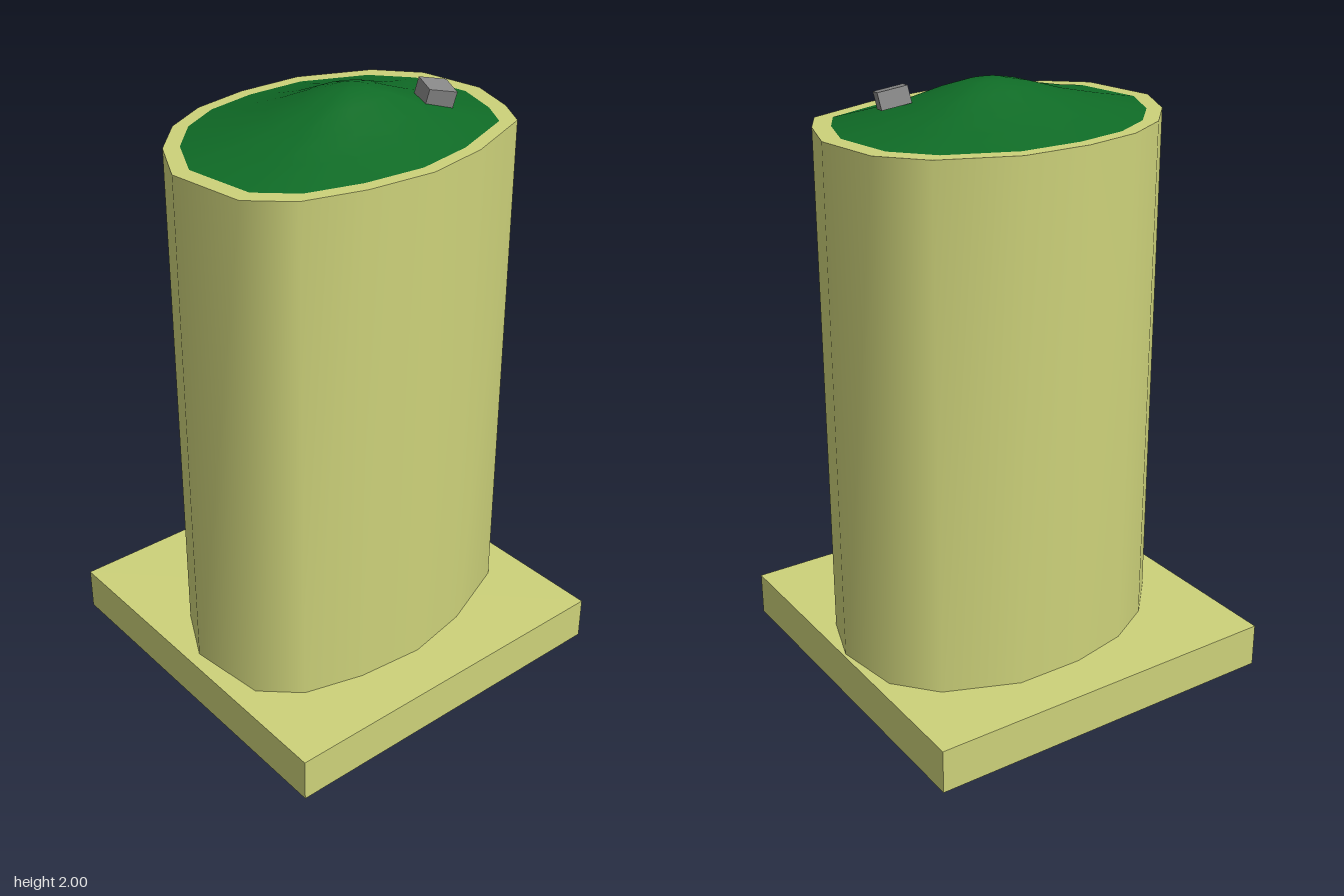
import * as THREE from 'three';

// Irregular oval footprint of the tower as [x, z], starting at the back
const OUTLINE = [
  [0, -0.62], [0.18, -0.56], [0.3, -0.49], [0.41, -0.225], [0.455, 0], [0.435, 0.23],
  [0.38, 0.43], [0.27, 0.55], [0, 0.585], [-0.19, 0.49], [-0.33, 0.36], [-0.42, 0.2],
  [-0.463, 0], [-0.463, -0.23], [-0.365, -0.47], [-0.23, -0.585],
];
const RIM_Y = 1.88;
const RIM_SCALE = 0.9;

// Outline scaled by s, at height y, shifted along z
const ring = (s, y, dz = 0) => OUTLINE.map(([x, z]) => [x * s, y, z * s + dz]);

// Skin joining closed rings, listed from low/outer to high/inner
function loft(rings) {
  const n = OUTLINE.length;
  const index = [];
  for (let r = 0; r < rings.length - 1; r++) {
    for (let i = 0; i < n; i++) {
      const j = (i + 1) % n;
      const a = r * n + i, b = r * n + j, c = a + n, d = b + n;
      index.push(a, c, b, b, c, d);
    }
  }
  const geometry = new THREE.BufferGeometry();
  geometry.setAttribute('position', new THREE.Float32BufferAttribute(rings.flat(2), 3));
  geometry.setIndex(index);
  geometry.computeVertexNormals();
  return geometry;
}

export function createModel() {
  const model = new THREE.Group();
  model.name = 'tower';

  const stone = new THREE.MeshStandardMaterial({ color: 0xcdd27a, side: THREE.DoubleSide });
  const grass = new THREE.MeshStandardMaterial({ color: 0x0f6b26, side: THREE.DoubleSide });
  const rock = new THREE.MeshStandardMaterial({ color: 0x888888, flatShading: true });

  const add = (name, geometry, material) => {
    const mesh = new THREE.Mesh(geometry, material);
    mesh.name = name;
    model.add(mesh);
    return mesh;
  };

  // Square plinth, hollow and open underneath
  const plinth = new THREE.BoxGeometry(1.26, 0.15, 1.26);
  const faces = Array.from(plinth.index.array);
  faces.splice(18, 6); // drop the bottom face
  plinth.setIndex(faces);
  plinth.clearGroups();
  add('plinth', plinth, stone).position.y = 0.075;

  // Smooth shaft, reaching a little way down into the plinth
  add('shaft', loft([ring(1, 0.06), ring(1, RIM_Y)]), stone);

  // Flat rim around the top
  add('rim', loft([ring(1, RIM_Y), ring(RIM_SCALE, RIM_Y)]), stone);

  // Grassy mound: [distance from peak, share of height]
  const slope = [[1, 0], [0.75, 0.23], [0.5, 0.5], [0.28, 0.82], [0.13, 0.98], [0, 1]];
  add('mound', loft(slope.map(([t, h]) =>
    ring(RIM_SCALE * t, RIM_Y + 0.12 * h, -0.06 * (1 - t)))), grass);

  // Small boulder lying tilted on the mound
  const boulder = add('boulder', new THREE.BoxGeometry(0.092, 0.055, 0.095), rock);
  boulder.position.set(0.11, 1.955, -0.32);
  boulder.rotation.set(-0.2, -0.33, -0.15, 'YXZ');

  return model;
}
